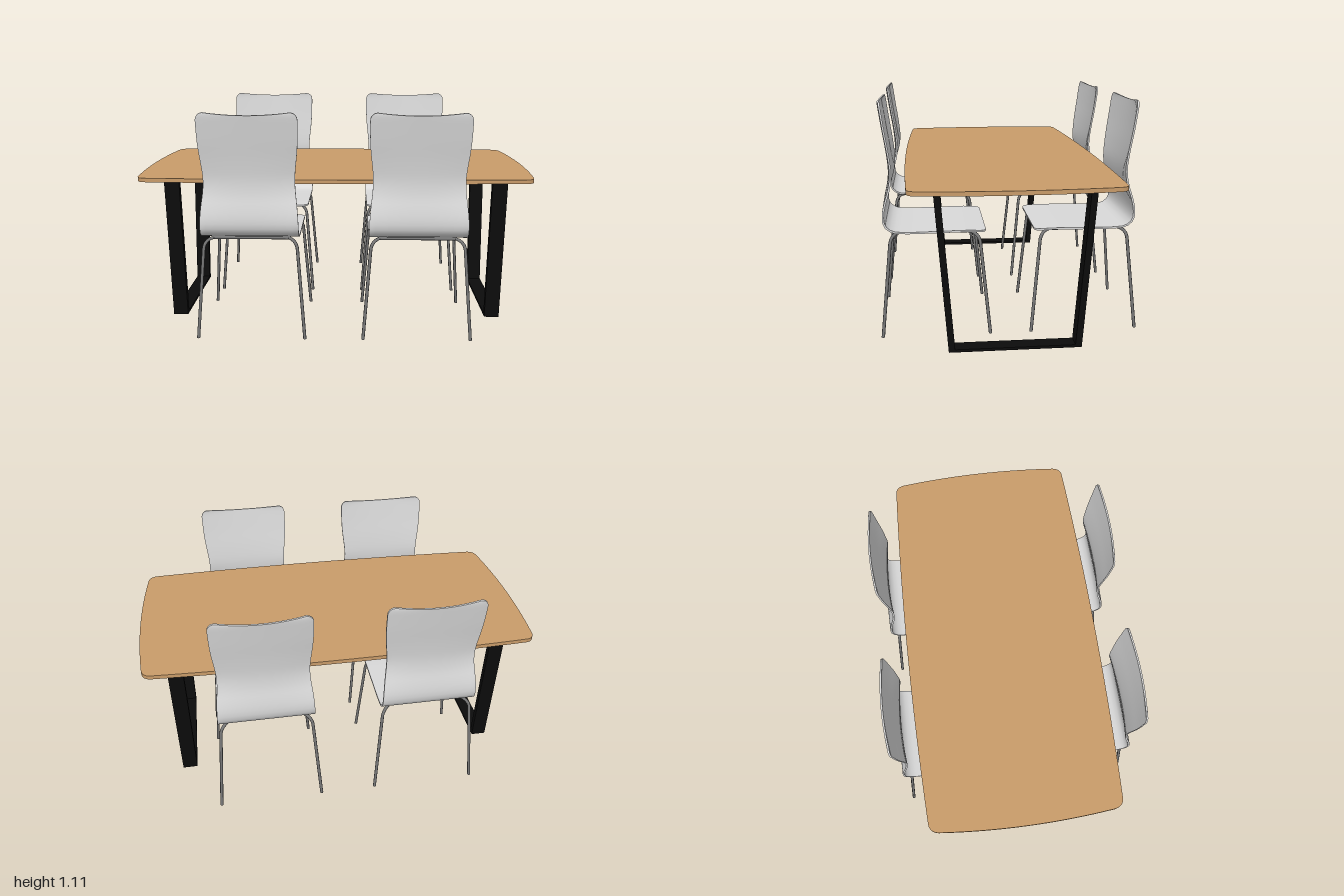
import * as THREE from 'three';
import { mergeGeometries } from 'three/addons/utils/BufferGeometryUtils.js';

const mat = (name, color, side = THREE.FrontSide) => {
  const m = new THREE.MeshStandardMaterial({ color, side });
  m.name = name;
  return m;
};

const mesh = (name, geometry, material) => {
  const m = new THREE.Mesh(geometry, material);
  m.name = name;
  return m;
};

// Smooth surface through a grid of points f(row, column)
function gridSurface(rows, cols, f) {
  const pos = [], index = [];
  for (let i = 0; i <= rows; i++)
    for (let j = 0; j <= cols; j++) pos.push(...f(i, j));
  for (let i = 0; i < rows; i++)
    for (let j = 0; j < cols; j++) {
      const a = i * (cols + 1) + j, b = a + cols + 1;
      index.push(a, b, a + 1, b, b + 1, a + 1);
    }
  const g = new THREE.BufferGeometry();
  g.setAttribute('position', new THREE.Float32BufferAttribute(pos, 3));
  g.setIndex(index);
  g.computeVertexNormals();
  return g;
}

// Bent plywood shell: seat and backrest in one sheet, following a side profile
function shellGeometry() {
  const profile = new THREE.CatmullRomCurve3([
    [0.115, 0.502], [0.2, 0.506], [0.36, 0.504], [0.5, 0.504], [0.555, 0.511],
    [0.588, 0.538], [0.597, 0.585], [0.59, 0.645], [0.576, 0.71], [0.571, 0.78],
    [0.579, 0.87], [0.597, 0.99], [0.613, 1.098],
  ].map(([z, y]) => new THREE.Vector3(0, y, z)), false, 'centripetal');
  profile.arcLengthDivisions = 600;
  const length = profile.getLength(), radius = 0.035, thick = 0.009, cols = 16;

  // Stations are dense at the rounded ends
  const ends = [0, 1, 2, 3, 4, 5].map(k => radius * (1 - Math.cos(k * Math.PI / 10)));
  const stations = [...ends];
  for (let k = 1; k < 40; k++) stations.push(radius + (length - 2 * radius) * k / 40);
  stations.push(...ends.map(d => length - d).reverse());
  const rows = stations.length - 1;

  const smooth = THREE.MathUtils.smoothstep;
  const point = (i, j, side) => {
    const s = stations[i], u = j / cols * 2 - 1;
    const p = profile.getPointAt(s / length), t = profile.getTangentAt(s / length);
    // Narrow waist, rounded corners
    const waist = 0.018 * Math.exp(-(((p.y - 0.78) / 0.13) ** 2));
    const d = Math.min(s, length - s);
    const round = d < radius ? radius - Math.sqrt(Math.max(0, radius ** 2 - (radius - d) ** 2)) : 0;
    const half = 0.238 - waist - round;
    // Backrest wraps around the sitter and its top edge dips in the middle
    const z = p.z - 0.016 * u * u * smooth(p.y, 0.53, 0.8);
    const y = p.y + 0.012 * u * u * smooth(p.y, 0.95, 1.1);
    return [u * half, y + t.z * side * thick / 2, z - t.y * side * thick / 2];
  };

  // Boundary loop for the thin rim
  const loop = [];
  for (let j = 0; j < cols; j++) loop.push([0, j]);
  for (let i = 0; i < rows; i++) loop.push([i, cols]);
  for (let j = cols; j > 0; j--) loop.push([rows, j]);
  for (let i = rows; i >= 0; i--) loop.push([i, 0]);

  return mergeGeometries([
    gridSurface(rows, cols, (i, j) => point(i, j, 1)),
    gridSurface(rows, cols, (i, j) => point(i, cols - j, -1)),
    gridSurface(loop.length - 1, 1, (k, c) => point(...loop[k], c ? -1 : 1)),
  ]);
}

// One bent tube: front leg, seat rail and back leg
function legTubeGeometry(side) {
  const v = (x, y, z) => new THREE.Vector3(side * x, y, z);
  const path = new THREE.CurvePath();
  const a = v(0.228, 0.45, 0.143), b = v(0.185, 0.493, 0.19);
  const c = v(0.185, 0.493, 0.53), d = v(0.228, 0.45, 0.567);
  path.add(new THREE.LineCurve3(v(0.263, 0.002, 0.099), a));
  path.add(new THREE.QuadraticBezierCurve3(a, v(0.222, 0.489, 0.149), b));
  path.add(new THREE.LineCurve3(b, c));
  path.add(new THREE.QuadraticBezierCurve3(c, v(0.222, 0.489, 0.563), d));
  path.add(new THREE.LineCurve3(d, v(0.263, 0.002, 0.611)));
  return new THREE.TubeGeometry(path, 80, 0.008, 8);
}

function createChair(shellMaterial, tubeMaterial) {
  const chair = new THREE.Group();
  chair.add(mesh('seatShell', shellGeometry(), shellMaterial));
  for (const side of [-1, 1]) {
    chair.add(mesh('legTube', legTubeGeometry(side), tubeMaterial));
    for (const z of [0.099, 0.611]) {
      const foot = mesh('footCap', new THREE.CylinderGeometry(0.008, 0.008, 0.004, 8), tubeMaterial);
      foot.position.set(side * 0.263, 0.002, z);
      chair.add(foot);
    }
  }
  // Cross bars under the seat
  for (const z of [0.19, 0.53]) {
    const bar = mesh('seatCrossBar', new THREE.CylinderGeometry(0.008, 0.008, 0.37, 8), tubeMaterial);
    bar.rotation.z = Math.PI / 2;
    bar.position.set(0, 0.493, z);
    chair.add(bar);
  }
  return chair;
}

// Boat-shaped top with bowed sides and rounded corners
function tableTopGeometry() {
  const s = new THREE.Shape();
  s.moveTo(-0.93, -0.478);
  s.quadraticCurveTo(0, -0.522, 0.93, -0.478);
  s.quadraticCurveTo(0.97, -0.475, 0.977, -0.43);
  s.quadraticCurveTo(1.023, 0, 0.977, 0.43);
  s.quadraticCurveTo(0.97, 0.475, 0.93, 0.478);
  s.quadraticCurveTo(0, 0.522, -0.93, 0.478);
  s.quadraticCurveTo(-0.97, 0.475, -0.977, 0.43);
  s.quadraticCurveTo(-1.023, 0, -0.977, -0.43);
  s.quadraticCurveTo(-0.97, -0.475, -0.93, -0.478);
  const g = new THREE.ExtrudeGeometry(s, { depth: 0.02, bevelEnabled: false, curveSegments: 16 });
  return g.rotateX(-Math.PI / 2).translate(0, 0.756, 0);
}

// U-shaped flat-bar frame with legs splaying towards the top
function tableLegGeometry() {
  const s = new THREE.Shape([
    [-0.306, 0], [0.306, 0], [0.365, 0.756], [0.335, 0.756],
    [0.277, 0.013], [-0.277, 0.013], [-0.335, 0.756], [-0.365, 0.756],
  ].map(p => new THREE.Vector2(...p)));
  const g = new THREE.ExtrudeGeometry(s, { depth: 0.076, bevelEnabled: false });
  return g.translate(0, 0, -0.038).rotateY(Math.PI / 2);
}

export function createModel() {
  const wood = mat('wood', 0xc99c6a);
  const black = mat('blackSteel', 0x0c0c0c);
  const shell = mat('paleGreyShell', 0xd9d9d9, THREE.DoubleSide);
  const tube = mat('greyTube', 0x757575);

  const model = new THREE.Group();
  const table = new THREE.Group();
  table.name = 'table';
  table.add(mesh('tableTop', tableTopGeometry(), wood));
  for (const side of [-1, 1]) {
    const leg = mesh('tableLegFrame', tableLegGeometry(), black);
    leg.position.x = side * 0.829;
    const rail = mesh('tableRail', new THREE.BoxGeometry(1.734, 0.009, 0.102), black);
    rail.position.set(0, 0.7515, side * 0.386);
    table.add(leg, rail);
  }
  model.add(table);

  // Two chairs on each long side, facing the table
  for (const x of [-0.406, 0.406])
    for (const turn of [0, Math.PI]) {
      const chair = createChair(shell, tube);
      chair.name = turn ? 'backChair' : 'frontChair';
      chair.position.x = x;
      chair.rotation.y = turn;
      model.add(chair);
    }
  return model;
}
